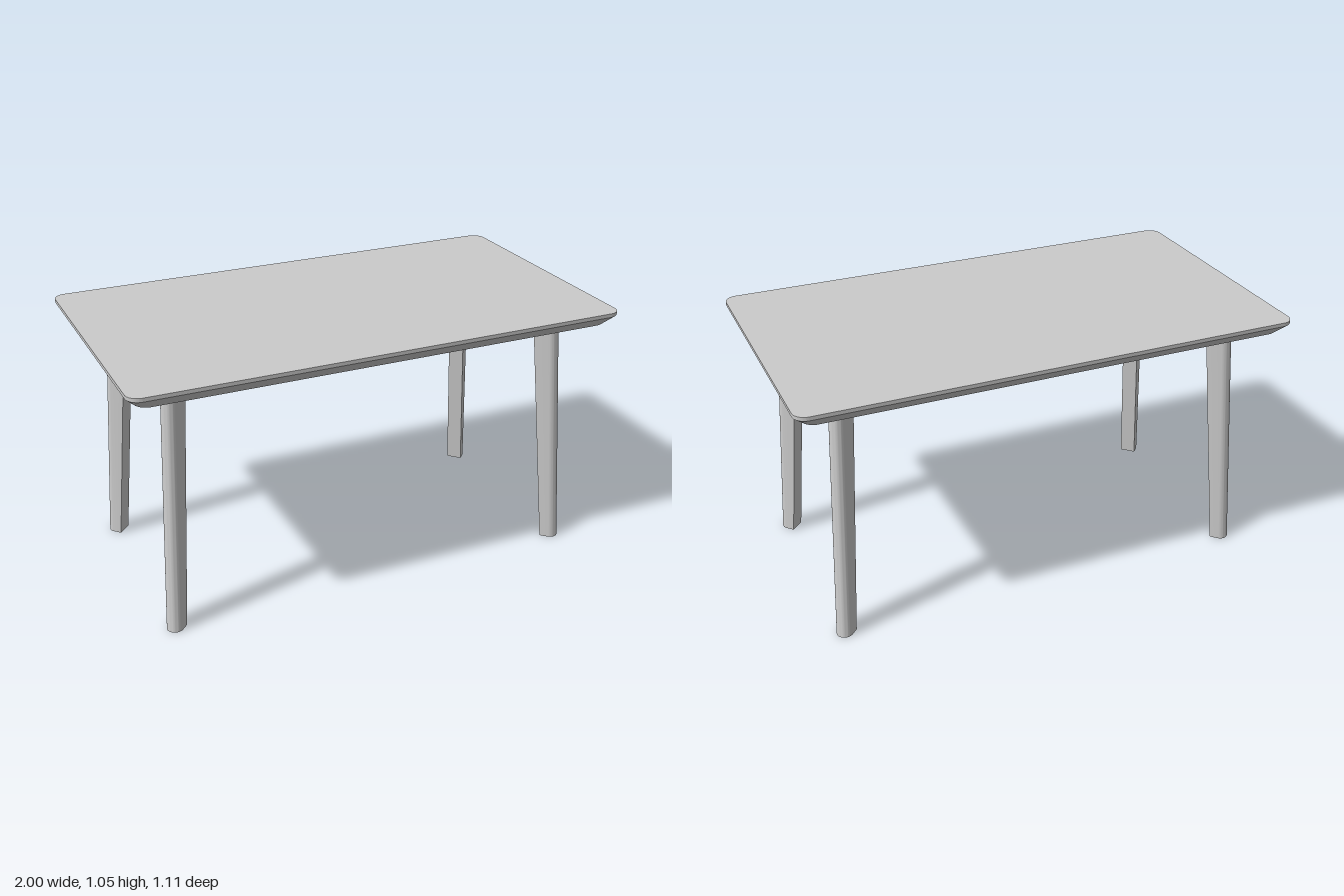
import * as THREE from 'three';
import { toCreasedNormals } from 'three/addons/utils/BufferGeometryUtils.js';

const material = new THREE.MeshStandardMaterial({ color: 0xcccccc });

// Applies a rule to every vertex, then recomputes normals with crisp edges.
function reshape(geometry, rule) {
  const p = geometry.attributes.position;
  const v = new THREE.Vector3();
  for (let i = 0; i < p.count; i++) {
    rule(v.fromBufferAttribute(p, i));
    p.setXYZ(i, v.x, v.y, v.z);
  }
  return toCreasedNormals(geometry, 0.5);
}

// Rounded slab with a thin upright rim and a 45 degree undercut.
function createTabletop() {
  const w = 1, d = 0.556, r = 0.05, inset = 0.038;
  const levels = [0.998, 1.04, 1.055];
  const shape = new THREE.Shape();
  shape.absarc(w - r, d - r, r, 0, Math.PI / 2);
  shape.absarc(-w + r, d - r, r, Math.PI / 2, Math.PI);
  shape.absarc(-w + r, -d + r, r, Math.PI, Math.PI * 1.5);
  shape.absarc(w - r, -d + r, r, Math.PI * 1.5, Math.PI * 2);
  const geometry = new THREE.ExtrudeGeometry(shape, { depth: 2, steps: 2, bevelEnabled: false, curveSegments: 8 });
  geometry.rotateX(-Math.PI / 2);
  const mesh = new THREE.Mesh(reshape(geometry, (v) => {
    const level = Math.round(v.y);
    if (level === 0) {
      v.x -= Math.sign(v.x) * inset;
      v.z -= Math.sign(v.z) * inset;
    }
    v.y = levels[level];
  }), material);
  mesh.name = 'tabletop';
  return mesh;
}

// Splayed leg: D-shaped section, round side out to the corner, flat side in,
// with the straight part getting shorter towards the floor.
function createLeg(sx, sz) {
  const r = 0.033;
  const shape = new THREE.Shape();
  shape.moveTo(-1, -r);
  shape.lineTo(0, -r);
  shape.absarc(0, 0, r, -Math.PI / 2, Math.PI / 2);
  shape.lineTo(-1, r);
  shape.closePath();
  const geometry = new THREE.ExtrudeGeometry(shape, { depth: 1, bevelEnabled: false, curveSegments: 12 });
  geometry.rotateX(-Math.PI / 2);
  const angle = Math.atan2(sz, sx);
  const up = new THREE.Vector3(0, 1, 0);
  const mesh = new THREE.Mesh(reshape(geometry, (v) => {
    if (v.x < -0.5) v.x = -THREE.MathUtils.lerp(0.034, 0.062, v.y);
    v.applyAxisAngle(up, -angle);
    v.x += sx * (0.85 - 0.05 * v.y);
    v.z += sz * (0.41 - 0.05 * v.y);
  }), material);
  mesh.name = (sz > 0 ? 'front' : 'back') + (sx > 0 ? 'Left' : 'Right') + 'Leg';
  return mesh;
}

export function createModel() {
  const table = new THREE.Group();
  table.name = 'table';
  table.add(createTabletop());
  for (const sx of [-1, 1]) {
    for (const sz of [-1, 1]) table.add(createLeg(sx, sz));
  }
  return table;
}
